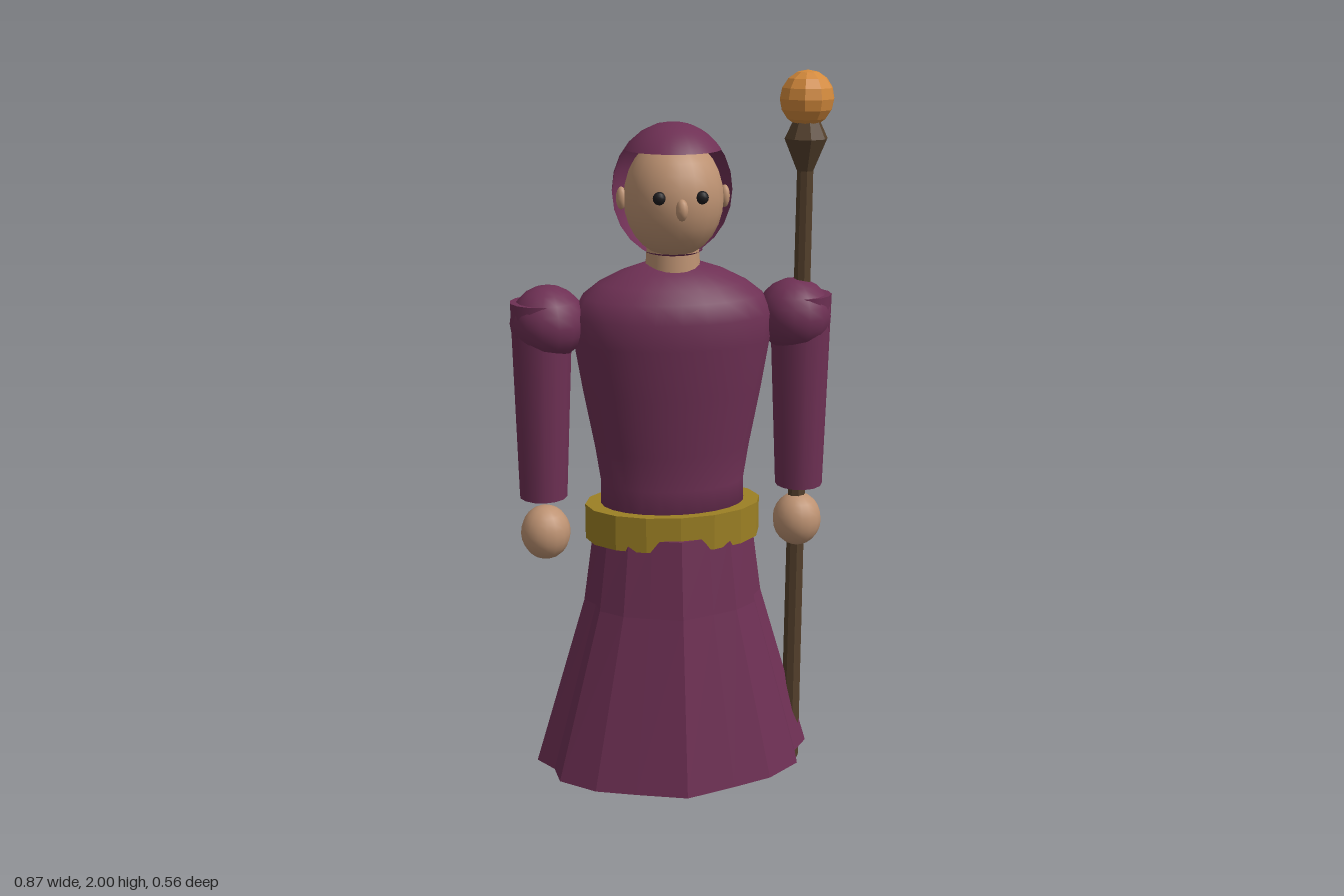
import * as THREE from 'three';

const mat = (name, color, opts = {}) => {
  const m = new THREE.MeshStandardMaterial({ color, ...opts });
  m.name = name;
  return m;
};

// Open tube/solid lofted through rings of [x, y, z] points, closed with caps.
function loft(rings) {
  const pos = [], n = rings[0].length;
  const tri = (...p) => p.forEach((v) => pos.push(...v));
  for (let i = 0; i < rings.length - 1; i++) {
    for (let j = 0; j < n; j++) {
      const k = (j + 1) % n, lo = rings[i], hi = rings[i + 1];
      tri(lo[j], lo[k], hi[k]);
      tri(lo[j], hi[k], hi[j]);
    }
  }
  const last = rings[rings.length - 1];
  for (let j = 0; j < n; j++) {
    const k = (j + 1) % n;
    tri([0, rings[0][0][1], 0], rings[0][k], rings[0][j]);
    tri([0, last[0][1], 0], last[j], last[k]);
  }
  const g = new THREE.BufferGeometry();
  g.setAttribute('position', new THREE.Float32BufferAttribute(pos, 3));
  g.computeVertexNormals();
  return g;
}

export function createModel() {
  const root = new THREE.Group();
  root.name = 'robedFigure';
  const robe = mat('robe purple', 0x6e3054, { side: THREE.DoubleSide });
  const robeFlat = mat('skirt purple', 0x6e3054, { flatShading: true });
  const skin = mat('skin', 0xbd9272);
  const gold = mat('belt gold', 0x9c8024, { flatShading: true });
  const wood = mat('staff wood', 0x54402c, { flatShading: true });
  const amber = mat('orb amber', 0xd48a3c, { flatShading: true });
  const black = mat('eye black', 0x1c1a1c);
  const boot = mat('boot dark', 0x2a2220);

  const add = (name, geo, material, x = 0, y = 0, z = 0, parent = root) => {
    const m = new THREE.Mesh(geo, material);
    m.name = name;
    m.position.set(x, y, z);
    parent.add(m);
    return m;
  };
  const ball = (rx, ry, rz, w = 20, h = 14) => new THREE.SphereGeometry(1, w, h).scale(rx, ry, rz);

  // Skirt: a folded hem narrowing to an oval waist
  const half = [[0, 0.275], [0.14, 0.235], [0.25, 0.2], [0.345, 0.13], [0.355, 0.06],
    [0.4, 0], [0.37, -0.11], [0.25, -0.22], [0.14, -0.28], [0, -0.273]];
  const hem = [...half, ...half.slice(1, -1).reverse().map(([x, z]) => [-x, z])];
  const ring = (y, sx, sz) => hem.map(([x, z]) => [x * sx, y, z * sz]);
  add('skirt', loft([ring(0.05, 1, 1), ring(0.55, 0.635, 0.68), ring(0.768, 0.56, 0.57)]), robeFlat);

  // Torso: turned profile flattened front to back
  const profile = [[0, 0.74], [0.205, 0.74], [0.2, 0.9], [0.215, 1.0], [0.245, 1.16], [0.268, 1.3],
    [0.272, 1.37], [0.245, 1.42], [0.2, 1.455], [0.14, 1.485], [0.08, 1.505], [0, 1.505]]
    .map(([x, y]) => new THREE.Vector2(x, y));
  add('torso', new THREE.LatheGeometry(profile, 24).scale(1, 1, 0.645), robe, 0, 0, -0.01);

  // Belt
  add('belt', new THREE.CylinderGeometry(1, 1, 0.1, 16).scale(0.246, 1, 0.152), gold, 0, 0.785, -0.005);

  // Neck and head
  add('neck', new THREE.CylinderGeometry(0.068, 0.075, 0.1, 16), skin, 0, 1.53, -0.005);
  add('head', ball(0.132, 0.157, 0.135), skin, 0, 1.68, 0.008);
  add('nose', ball(0.016, 0.028, 0.02, 10, 8), skin, 0, 1.667, 0.151);

  // Hood: back half shell plus brow and chin pieces around the face opening
  const hood = new THREE.Group();
  hood.name = 'hood';
  hood.position.set(0, 1.695, -0.01);
  root.add(hood);
  const shell = (name, p0, t0, t1) => add(name,
    new THREE.SphereGeometry(1, 14, 12, p0, Math.PI, t0, t1).scale(0.16, 0.178, 0.174), robe, 0, 0, 0, hood);
  shell('hoodBack', Math.PI, 0, Math.PI);
  shell('hoodBrow', 0, 0, 0.92);
  shell('hoodChin', 0, 2.62, Math.PI - 2.62);
  const tip = add('hoodTip', new THREE.ConeGeometry(0.028, 0.075, 8), robe, 0, 0.093, -0.153, hood);
  tip.rotation.x = -0.7;

  for (const [side, s] of [['left', 1], ['right', -1]]) {
    add(side + 'Eye', ball(0.017, 0.017, 0.014, 10, 8), black, s * 0.055, 1.695, 0.131);
    add(side + 'Ear', ball(0.014, 0.03, 0.018, 10, 8), skin, s * 0.137, 1.68, 0.002);
    add(side + 'Boot', new THREE.BoxGeometry(0.17, 0.06, 0.255), boot, s * 0.13, 0.065, 0.038);

    // Arm: puffed shoulder, tapered sleeve and hand
    add(side + 'Shoulder', ball(0.102, 0.1, 0.105, 14, 10), robe, s * 0.335, 1.353, -0.01);
    const sleeve = new THREE.CylinderGeometry(0.084, 0.066, 0.545, 14);
    const p = sleeve.attributes.position;
    for (let i = 0; i < p.count; i++) p.setX(i, p.getX(i) - s * 0.004 * Math.sign(p.getY(i)));
    add(side + 'Sleeve', sleeve, robe, s * 0.356, 1.138, -0.008);
    add(side + 'Hand', ball(0.069, 0.077, 0.068, 16, 12), skin, s * 0.357, 0.76, -0.004);
  }

  // Staff in the left hand
  const staff = new THREE.Group();
  staff.name = 'staff';
  staff.position.set(0.355, 0, -0.008);
  root.add(staff);
  add('shaft', new THREE.CylinderGeometry(0.022, 0.027, 1.8, 8), wood, 0, 0.9, 0, staff);
  add('staffCupLower', new THREE.CylinderGeometry(0.058, 0.022, 0.085, 8), wood, 0, 1.782, 0, staff);
  add('staffCupUpper', new THREE.CylinderGeometry(0.034, 0.058, 0.05, 8), wood, 0, 1.8495, 0, staff);
  add('orb', new THREE.SphereGeometry(0.073, 10, 8), amber, 0, 1.927, 0, staff);

  return root;
}
